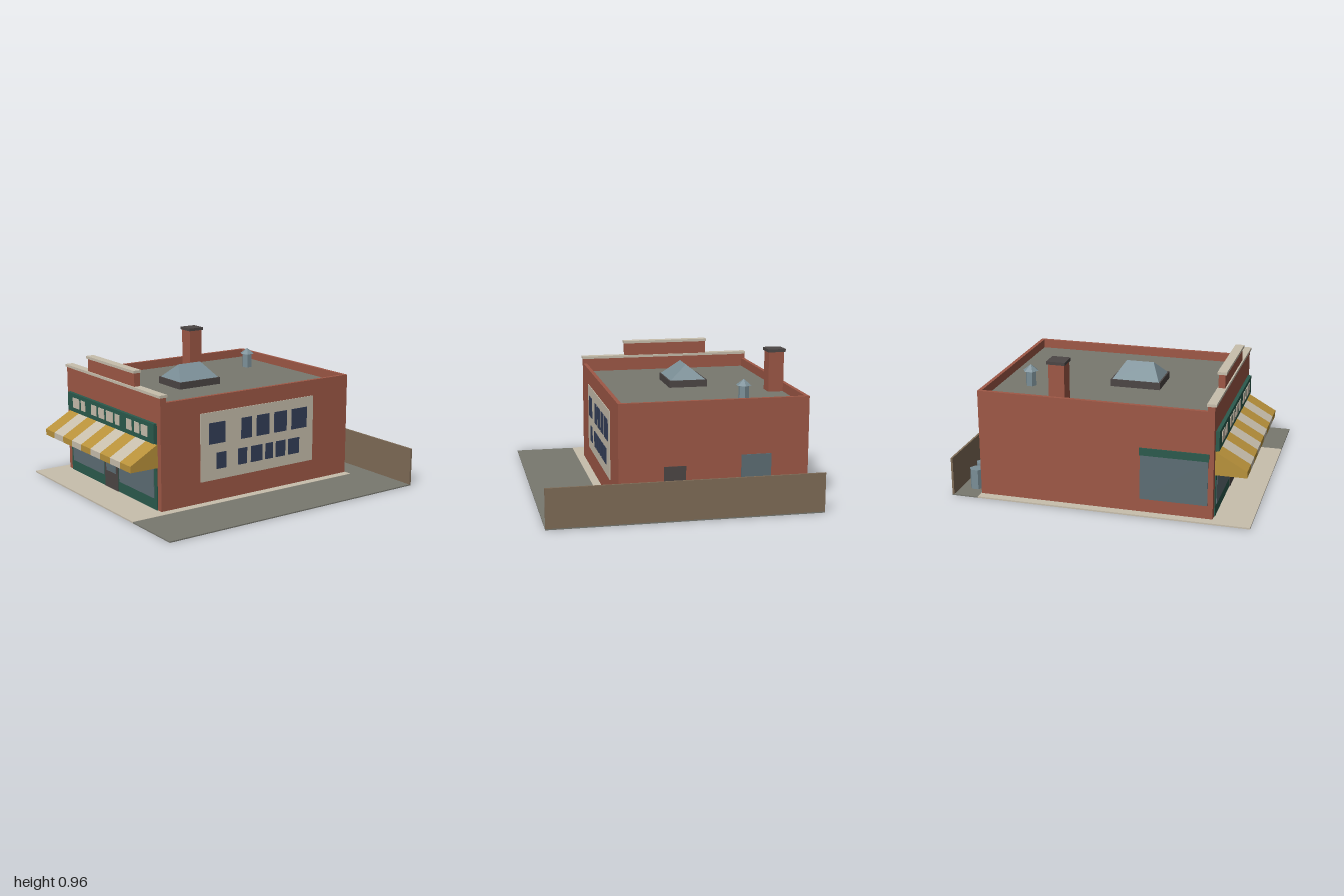
import * as THREE from 'three';

const mat = (name, color) => {
  const m = new THREE.MeshStandardMaterial({ color });
  m.name = name;
  return m;
};

export function createModel() {
  const brick = mat('brick', 0x9e5846), cream = mat('cream', 0xc8bfad);
  const green = mat('shopfront green', 0x2b5a4d), gold = mat('awning gold', 0xb9923b);
  const asphalt = mat('asphalt', 0x78786f), wood = mat('fence brown', 0x7f6c57);
  const glass = mat('window glass', 0x5d6d74), metal = mat('metal', 0x7b8f97);
  const dark = mat('dark grey', 0x4c4645), navy = mat('navy', 0x343f59);

  const model = new THREE.Group();
  model.name = 'cornerShop';
  const add = (name, geometry, material) => {
    const mesh = new THREE.Mesh(geometry, material);
    mesh.name = name;
    model.add(mesh);
    return mesh;
  };
  // Box given by its bounds on each axis
  const box = (name, material, x0, x1, y0, y1, z0, z1) =>
    add(name, new THREE.BoxGeometry(x1 - x0, y1 - y0, z1 - z0), material)
      .position.set((x0 + x1) / 2, (y0 + y1) / 2, (z0 + z1) / 2);
  // Cylinder or cone with six flat sides, standing on y0
  const hex = (name, material, x, z, y0, y1, rTop, rBottom) => {
    const g = new THREE.CylinderGeometry(rTop, rBottom, y1 - y0, 6).toNonIndexed();
    g.computeVertexNormals();
    add(name, g, material).position.set(x, (y0 + y1) / 2, z);
  };

  const L = -0.84, R = 0.413, B = -0.815, F = 0.75; // outer walls
  const roofY = 0.67, wallTop = 0.73, t = 0.025;

  // Pavement slab with an opening for the building
  const corners = (x0, x1, z0, z1) => [[x0, z0], [x1, z0], [x1, z1], [x0, z1]].map(([x, z]) => new THREE.Vector2(x, -z));
  const slab = new THREE.Shape(corners(-0.9, 0.47, -0.82, 1));
  slab.holes.push(new THREE.Path(corners(L, R, B, F)));
  add('pavement', new THREE.ExtrudeGeometry(slab, { depth: 0.01, bevelEnabled: false }).rotateX(-Math.PI / 2), cream);
  box('sideYard', asphalt, 0.47, 0.9, 0, 0.008, -0.82, 1);
  box('backAlley', asphalt, -0.9, 0.9, 0, 0.008, -1, -0.82);
  box('fence', wood, -0.9, 0.9, 0.008, 0.265, -1, -0.986);

  // Building body, roof and parapets
  box('buildingBody', brick, L, R, 0, roofY - 0.005, B, F);
  box('roof', asphalt, L + t, R - t, roofY - 0.005, roofY, B + t, F - 0.04);
  box('leftParapet', brick, R - t, R, roofY - 0.005, wallTop, B, F - 0.04);
  box('rightParapet', brick, L, L + t, roofY - 0.005, wallTop, B, F - 0.04);
  box('backParapet', brick, L + t, R - t, roofY - 0.005, wallTop, B, B + t);
  box('frontParapet', brick, L, R, roofY - 0.005, 0.764, F - 0.045, F);
  box('frontCoping', cream, L - 0.005, R + 0.006, 0.764, 0.782, 0.7, 0.76);
  box('raisedParapet', brick, -0.525, 0.098, 0.782, 0.872, F - 0.043, F);
  box('raisedCoping', cream, -0.532, 0.105, 0.872, 0.89, 0.7, 0.76);

  // Shopfront with two display windows and a door
  box('shopfrontPanel', green, -0.79, 0.37, 0.01, 0.46, F, F + 0.006);
  for (const x of [-0.762, -0.108]) box('displayWindow', glass, x, x + 0.445, 0.085, 0.42, F + 0.006, F + 0.01);
  box('shopDoor', dark, -0.3, -0.125, 0.01, 0.42, F + 0.006, F + 0.011);
  box('shopDoorGlass', glass, -0.277, -0.147, 0.13, 0.4, F + 0.011, F + 0.014);

  // Fascia board with plain blocks
  box('fascia', green, -0.795, 0.368, 0.458, 0.59, F, 0.774);
  const blocks = [[-0.716, 0.091], [-0.596, 0.058], [-0.447, 0.072], [-0.346, 0.077], [-0.24, 0.091],
    [-0.12, 0.058], [0.029, 0.067], [0.13, 0.062], [0.216, 0.077]];
  for (const [x, w] of blocks) box('fasciaBlock', cream, x, x + w, 0.49, 0.562, 0.774, 0.778);

  // Striped awning, one wedge for each stripe
  const stripe = 1.173 / 9;
  const profile = new THREE.Shape([[-F, 0.297], [-F, 0.455], [-0.955, 0.34], [-0.955, 0.297]]
    .map(([a, y]) => new THREE.Vector2(a, y)));
  for (let i = 0; i < 9; i++) {
    const wedge = new THREE.ExtrudeGeometry(profile, { depth: stripe, bevelEnabled: false }).rotateY(Math.PI / 2);
    add('awningStripe', wedge, i % 2 ? cream : gold).position.x = -0.798 + i * stripe;
  }

  // Painted panel on the left wall with two rows of blocks
  box('wallPanel', cream, R, R + 0.005, 0.155, 0.62, -0.502, 0.446);
  const rows = [
    [0.404, 0.548, [[0.38, 0.251], [0.118, 0.032], [-0.011, -0.118], [-0.16, -0.267], [-0.31, -0.444]]],
    [0.228, 0.34, [[0.321, 0.241], [0.144, 0.07], [0.037, -0.059], [-0.086, -0.15], [-0.176, -0.257], [-0.283, -0.38]]],
  ];
  for (const [y0, y1, spans] of rows)
    for (const [z1, z0] of spans) box('wallPanelBlock', navy, R + 0.005, R + 0.009, y0, y1, z0, z1);

  // Side window on the right wall, window and door at the back
  box('sideWindow', glass, L - 0.005, L, 0.1, 0.4, 0.275, 0.715);
  box('sideWindowHeader', green, L - 0.008, L, 0.4, 0.45, 0.27, 0.72);
  box('backDoor', dark, -0.025, 0.12, 0.01, 0.31, B - 0.005, B);
  box('backWindow', glass, -0.59, -0.39, 0.12, 0.365, B - 0.005, B);

  // Chimney
  box('chimney', brick, -0.818, -0.712, roofY, 0.943, -0.333, -0.227);
  box('chimneyCap', dark, -0.827, -0.704, 0.943, 0.963, -0.342, -0.219);

  // Hipped skylight: a box whose top narrows to a ridge
  box('skylightCurb', dark, -0.35, -0.08, roofY, 0.718, -0.06, 0.28);
  const hip = new THREE.BoxGeometry(0.25, 0.1, 0.32).toNonIndexed();
  const p = hip.attributes.position;
  for (let i = 0; i < p.count; i++)
    if (p.getY(i) > 0) p.setXYZ(i, 0, 0.05, Math.sign(p.getZ(i)) * 0.093);
  hip.computeVertexNormals();
  add('skylight', hip, metal).position.set(-0.215, 0.768, 0.11);

  // Roof vent and two bins
  hex('roofVent', metal, -0.465, -0.582, roofY, 0.775, 0.036, 0.036);
  hex('roofVentCap', metal, -0.465, -0.582, 0.773, 0.815, 0, 0.053);
  for (const x of [-0.747, -0.632]) hex('bin', metal, x, -0.885, 0.008, 0.145, 0.047, 0.047);

  return model;
}
